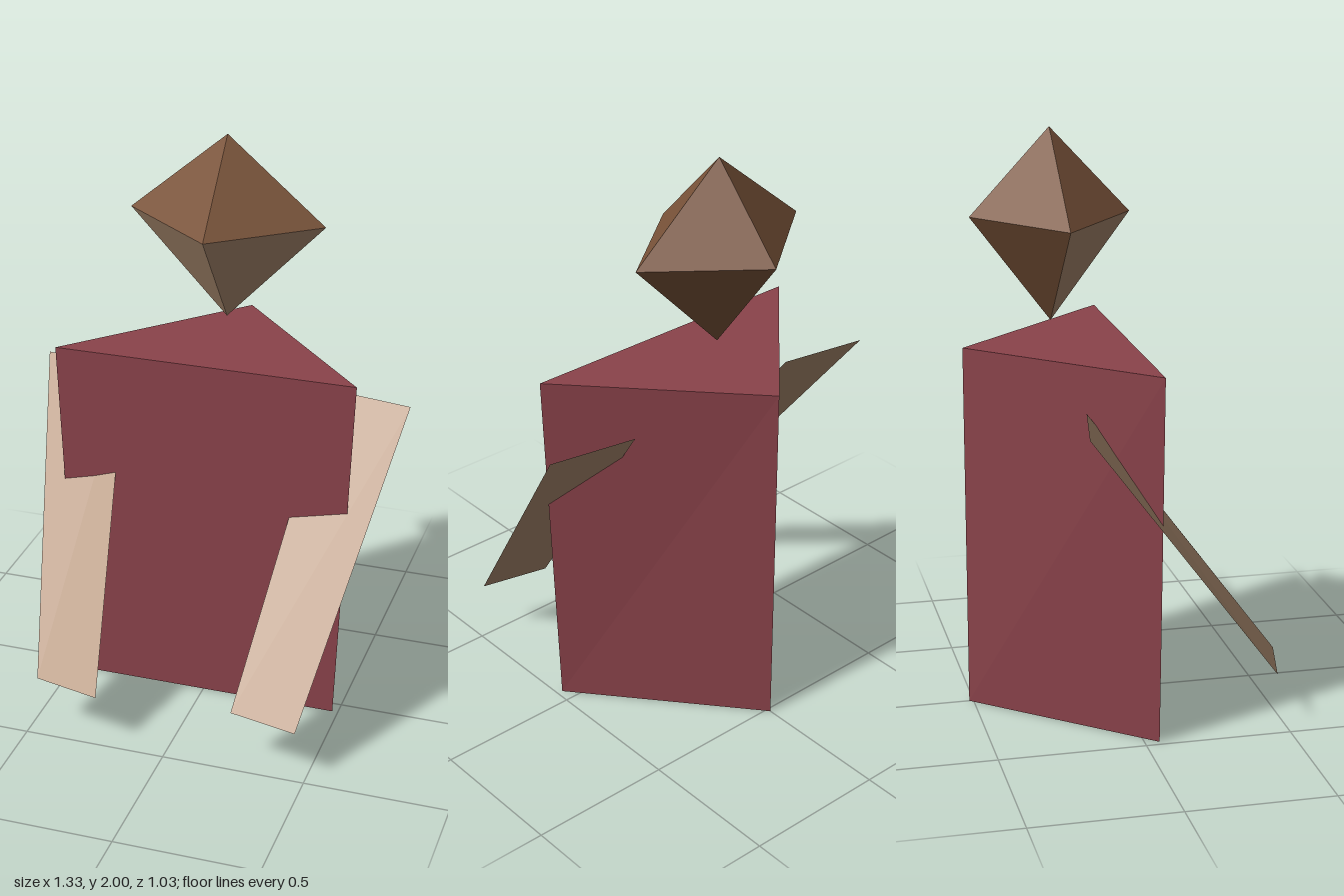
import * as THREE from 'three';

const material = (name, color, extra = {}) => {
  const m = new THREE.MeshStandardMaterial({ color, flatShading: true, ...extra });
  m.name = name;
  return m;
};

// Mesh from a list of triangles, each made of three corner points
function facets(name, triangles, mat) {
  const geometry = new THREE.BufferGeometry();
  geometry.setAttribute('position', new THREE.Float32BufferAttribute(triangles.flat(2), 3));
  geometry.computeVertexNormals();
  const mesh = new THREE.Mesh(geometry, mat);
  mesh.name = name;
  return mesh;
}

export function createModel() {
  const model = new THREE.Group();
  model.name = 'figure';
  const maroon = material('maroon cloth', 0x8b434b);
  const brown = material('brown hair', 0x7b543a);
  const tan = material('tan skin', 0xaf8e72, { side: THREE.DoubleSide });

  // Torso: triangular prism, slightly wider at the top
  const ring = (halfWidth, y) => [[-halfWidth, y, 0.05], [halfWidth, y, 0.05], [0, y, -0.515]];
  const low = ring(0.48, 0), high = ring(0.53, 1.27);
  const torso = [[high[0], high[1], high[2]], [low[0], low[2], low[1]]];
  for (let i = 0; i < 3; i++) {
    const j = (i + 1) % 3;
    torso.push([low[i], low[j], high[j]], [low[i], high[j], high[i]]);
  }
  model.add(facets('torso', torso, maroon));

  // Head: octahedron with hair on all faces but the lower front pair
  const head = new THREE.Group();
  head.name = 'head';
  const top = [0, 2, -0.215], chin = [0, 1.35, -0.215];
  const rim = [[-0.343, 1.71, -0.215], [0, 1.71, 0.055], [0.343, 1.71, -0.215], [0, 1.71, -0.485]];
  const hair = [], face = [];
  for (let i = 0; i < 4; i++) {
    const a = rim[i], b = rim[(i + 1) % 4];
    hair.push([a, b, top]);
    (i < 2 ? face : hair).push([b, a, chin]);
  }
  head.add(facets('hair', hair, brown), facets('face', face, tan));
  model.add(head);

  // Arms: flat sheets sloping forward, both twisted the same way
  for (const [name, topX, bottomX] of [
    ['rightArm', [-0.665, -0.36], [-0.47, -0.235]],
    ['leftArm', [0.36, 0.665], [0.23, 0.47]],
  ]) {
    const a = [bottomX[0], 0.2, 0.46], b = [bottomX[1], 0.2, 0.515];
    const c = [topX[1], 1.12, -0.17], d = [topX[0], 1.12, -0.225];
    model.add(facets(name, [[a, b, c], [a, c, d]], tan));
  }
  return model;
}
